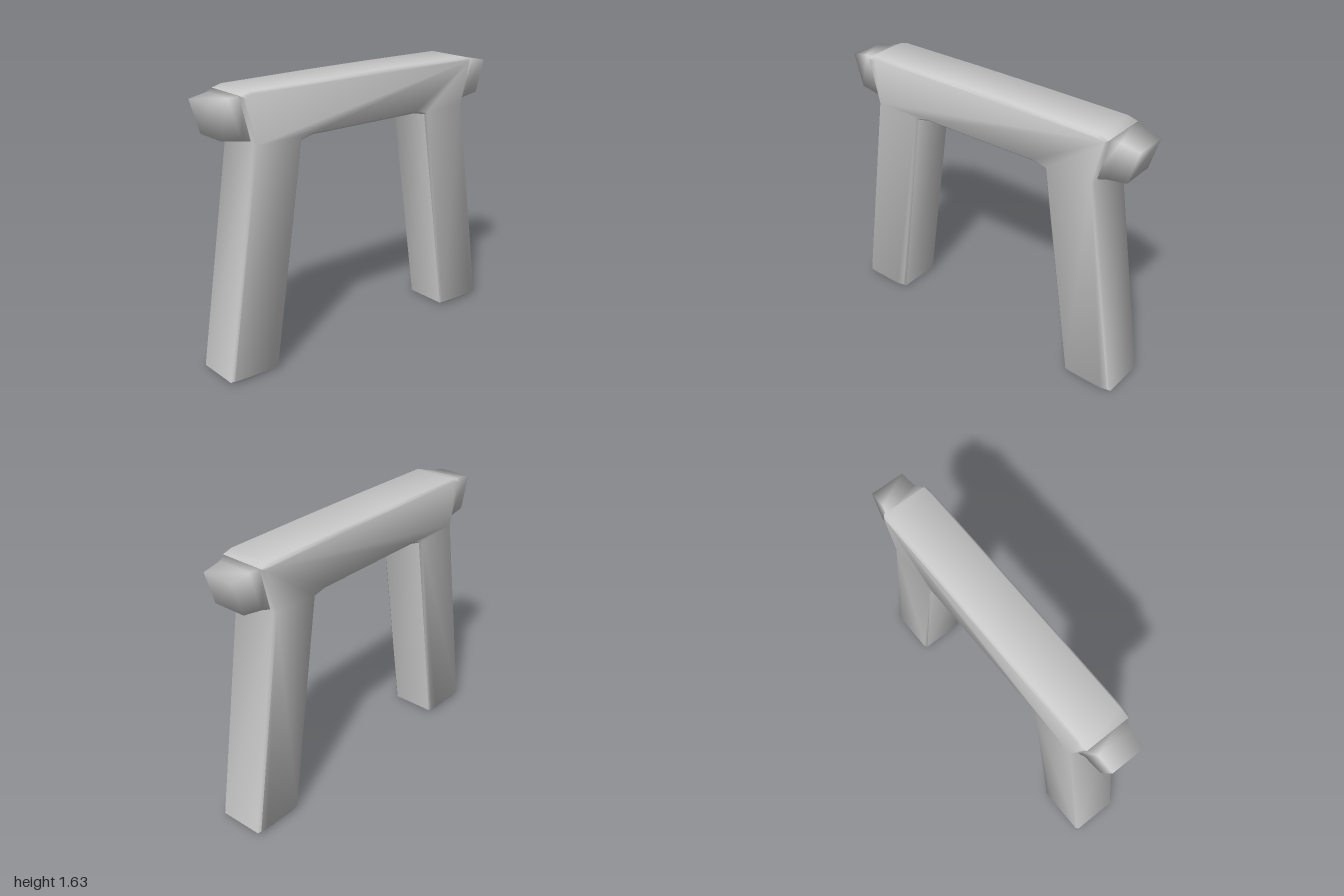
import * as THREE from 'three';
import { mergeVertices, toCreasedNormals } from 'three/addons/utils/BufferGeometryUtils.js';

const material = new THREE.MeshStandardMaterial({ color: 0xcccccc });

// Half outline of the frame as [z, y], from the top centre round to the inner centre
const HALF = [
  [0.22, 1.632], [0.78, 1.628], [0.84, 1.612], [0.77, 1.34], [0.97, 0.018],
  [0.91, 0.004], [0.71, 0.004], [0.65, 0.018], [0.46, 1.318], [0.38, 1.336],
];

// Two splayed legs and the beam as one bevelled slab
function frameGeometry() {
  const mirrored = HALF.map(([z, y]) => [-z, y]).reverse();
  const shape = new THREE.Shape([...HALF, ...mirrored].map(([z, y]) => new THREE.Vector2(z, y)));
  const bevel = 0.014;
  const geometry = new THREE.ExtrudeGeometry(shape, {
    depth: 0.296 - 2 * bevel,
    bevelThickness: bevel, bevelSize: bevel, bevelOffset: -bevel, bevelSegments: 1,
  });
  geometry.translate(0, 0, bevel - 0.148);
  geometry.rotateY(-Math.PI / 2);
  return toCreasedNormals(geometry, 0.9);
}

// Beam end: a block with sections [half width, bottom z, bottom y, top z, top y]
function beamEndGeometry() {
  const sections = [
    [0.135, 0.74, 1.355, 0.82, 1.613],
    [0.105, 0.82, 1.367, 0.89, 1.601],
    [0.102, 0.94, 1.385, 1.0, 1.58],
  ];
  const box = new THREE.BoxGeometry(2, 1, 2, 1, 1, 2);
  box.deleteAttribute('normal');
  box.deleteAttribute('uv');
  const geometry = mergeVertices(box);
  const p = geometry.attributes.position;
  for (let i = 0; i < p.count; i++) {
    const [w, z0, y0, z1, y1] = sections[Math.round(p.getZ(i)) + 1];
    const top = p.getY(i) > 0;
    p.setXYZ(i, p.getX(i) * w, top ? y1 : y0, top ? z1 : z0);
  }
  geometry.computeVertexNormals();
  return geometry;
}

export function createModel() {
  const model = new THREE.Group();
  model.name = 'trestleFrame';

  const frame = new THREE.Mesh(frameGeometry(), material);
  frame.name = 'legsAndBeam';
  model.add(frame);

  const endGeometry = beamEndGeometry();
  for (const [name, angle] of [['frontBeamEnd', 0], ['backBeamEnd', Math.PI]]) {
    const end = new THREE.Mesh(endGeometry, material);
    end.name = name;
    end.rotation.y = angle;
    model.add(end);
  }
  return model;
}
